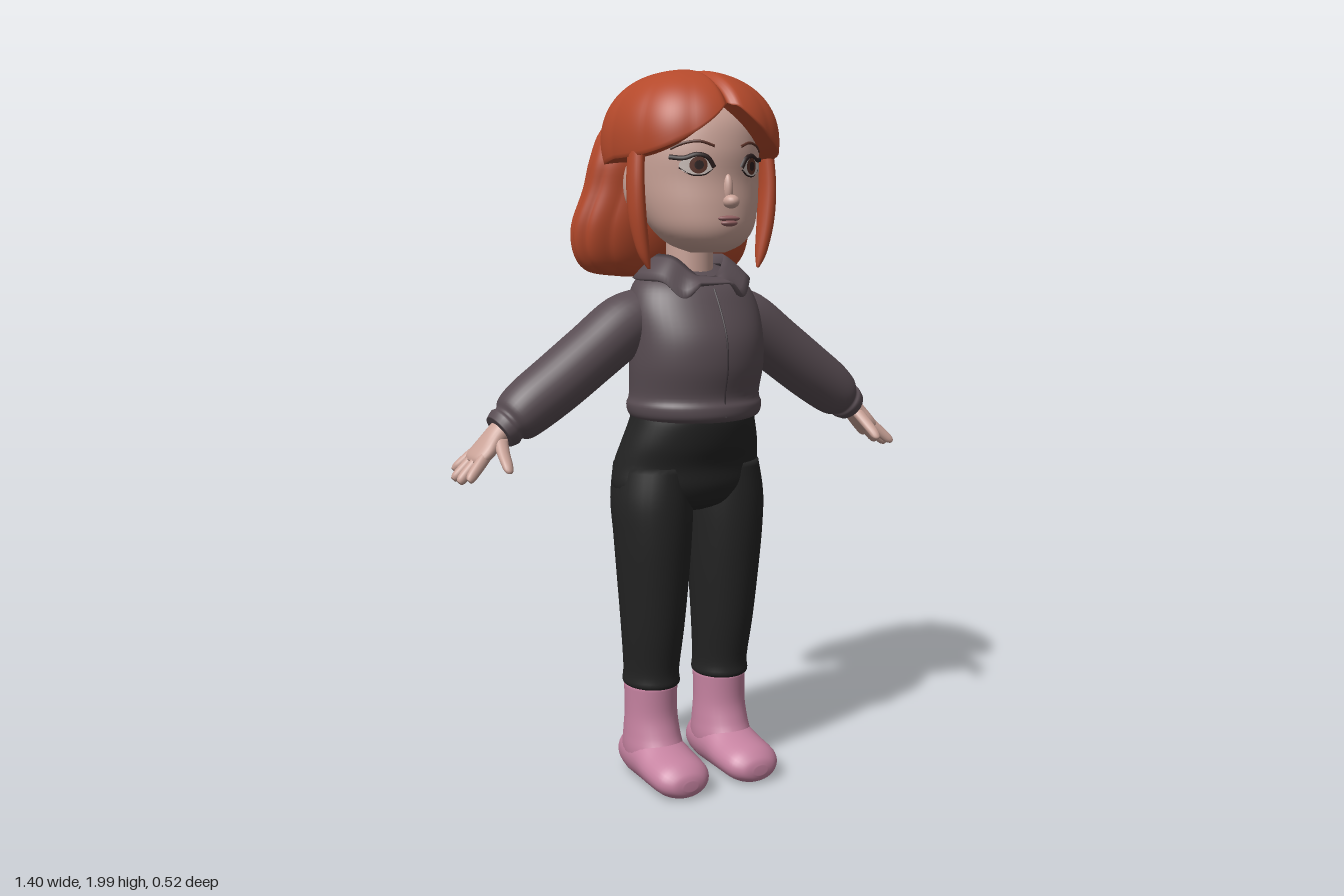
import * as THREE from 'three';

const material = (name, color) => {
  const m = new THREE.MeshStandardMaterial({ color });
  m.name = name;
  return m;
};

// Smooth grid: f(u, v) gives a point, u wraps around, v runs along
function grid(nu, nv, f) {
  const pos = [], idx = [];
  for (let j = 0; j <= nv; j++)
    for (let i = 0; i < nu; i++) pos.push(...f(i / nu, j / nv));
  for (let j = 0; j < nv; j++)
    for (let i = 0; i < nu; i++) {
      const a = j * nu + i, b = j * nu + (i + 1) % nu;
      idx.push(a, b, b + nu, a, b + nu, a + nu);
    }
  const g = new THREE.BufferGeometry();
  g.setAttribute('position', new THREE.Float32BufferAttribute(pos, 3));
  g.setIndex(idx);
  g.computeVertexNormals();
  return g;
}

// Catmull-Rom interpolation of rows of numbers
function sample(rows, t) {
  const n = rows.length - 1, f = Math.min(t * n, n - 1e-6), i = Math.floor(f), k = f - i;
  const p = o => rows[Math.max(0, Math.min(n, i + o))];
  return rows[0].map((_, c) => {
    const [a, b, d, e] = [p(-1)[c], p(0)[c], p(1)[c], p(2)[c]];
    return b + 0.5 * k * (d - a + k * (2 * a - 5 * b + 4 * d - e + k * (3 * (b - d) + e - a)));
  });
}

// Closed loft through rows [x, y, z, radius along z, radius across]
function loft(rows, nu = 32, swell = () => 1) {
  const nv = (rows.length - 1) * 5 + 2;
  const z = new THREE.Vector3(0, 0, 1);
  const first = rows[0], last = rows[rows.length - 1];
  const w = new THREE.Vector3(last[0] - first[0], last[1] - first[1], 0).normalize();
  const v = w.clone().cross(z);
  return grid(nu, nv, (u, s) => {
    const j = Math.round(s * nv), t = Math.max(0, Math.min(1, (j - 1) / (nv - 2)));
    const r = sample(rows, t), a = u * Math.PI * 2;
    const k = j === 0 || j === nv ? 0 : swell(a, t);
    const c = Math.cos(a) * r[3] * k, d = Math.sin(a) * r[4] * k;
    return [r[0] + v.x * d, r[1] + v.y * d, r[2] + c];
  });
}

// Upright loft from rows [y, front z, back z, half width]
const upright = (rows, nu = 48, swell) =>
  loft(rows.map(([y, f, b, w]) => [0, y, (f + b) / 2, (f - b) / 2, w]), nu, swell);

export function createModel() {
  const model = new THREE.Group();
  model.name = 'girl';
  const hair = material('red hair', 0xb4492b), skin = material('skin', 0xc9a297);
  const shirt = material('plum grey cloth', 0x584c52), pants = material('black cloth', 0x232323);
  const rubber = material('pink rubber', 0xc582a0), lip = material('lips', 0x8f5f60);
  const lash = material('dark lash', 0x2b1e1e), white = material('eye white', 0xcbbfba);
  const brown = material('brown', 0x5a3228), seam = material('dark seam', 0x3a3237);
  shirt.side = hair.side = THREE.DoubleSide;

  const add = (name, geometry, mat) => {
    const m = new THREE.Mesh(geometry, mat);
    m.name = name;
    model.add(m);
    return m;
  };
  const blob = (name, mat, [x, y, z], [a, b, c]) =>
    add(name, new THREE.SphereGeometry(1, 24, 16).scale(a, b, c).translate(x, y, z), mat);

  // Head and neck
  const head = add('head', upright([
    [1.508, 0.17, 0.06, 0.045], [1.53, 0.205, 0.0, 0.098], [1.57, 0.225, -0.05, 0.138],
    [1.63, 0.226, -0.1, 0.163], [1.7, 0.22, -0.14, 0.177], [1.78, 0.222, -0.16, 0.18],
    [1.86, 0.198, -0.16, 0.17], [1.92, 0.13, -0.12, 0.12], [1.95, 0.05, -0.05, 0.04]]), skin);
  add('neck', upright([[1.36, 0.085, -0.05, 0.065], [1.45, 0.085, -0.05, 0.065], [1.56, 0.085, -0.05, 0.065]]), skin);

  // Blouse body
  const torso = add('blouse', upright([
    [1.047, 0.18, -0.1, 0.155], [1.06, 0.212, -0.125, 0.185], [1.09, 0.216, -0.13, 0.195],
    [1.12, 0.207, -0.12, 0.188], [1.2, 0.222, -0.108, 0.194], [1.28, 0.216, -0.1, 0.194],
    [1.36, 0.18, -0.1, 0.192], [1.42, 0.14, -0.1, 0.17], [1.46, 0.075, -0.075, 0.12],
    [1.48, 0.03, -0.05, 0.07]]), shirt);

  // Depth of a surface seen from the front
  const ray = new THREE.Raycaster(), back = new THREE.Vector3(0, 0, -1);
  const depth = (mesh, x, y) => {
    ray.set(new THREE.Vector3(x, y, 1), back);
    const hit = ray.intersectObject(mesh)[0];
    return hit ? hit.point.z : 0.1;
  };
  const cord = (name, mat, mesh, pts, r) => {
    const curve = new THREE.CatmullRomCurve3(pts.map(([x, y]) => new THREE.Vector3(x, y, depth(mesh, x, y))));
    add(name, new THREE.TubeGeometry(curve, 20, r, 6), mat);
  };
  const patch = (name, mat, x, y, rx, ry, off) => {
    const g = new THREE.RingGeometry(0, 1, 28, 4).scale(rx, ry, 1).translate(x, y, 0);
    const p = g.attributes.position;
    for (let i = 0; i < p.count; i++) p.setZ(i, depth(head, p.getX(i), p.getY(i)) + off);
    g.computeVertexNormals();
    add(name, g, mat);
  };
  cord('frontSeam', seam, torso, [1.065, 1.12, 1.2, 1.28, 1.36, 1.41].map(y => [0, y]), 0.003);

  // Collar folding outwards with two front points
  add('collar', grid(96, 8, (u, v) => {
    const a = (0.04 + u * 0.92) * Math.PI * 2, c = Math.cos(a), s = Math.sin(a);
    const off = Math.abs(Math.PI - Math.abs(a - Math.PI));
    const top = 1.505 - 0.07 * Math.max(0, c) ** 4;
    const low = 1.435 - 0.05 * Math.exp(-(((off - 0.6) / 0.25) ** 2));
    const t = Math.max(0, Math.min(1, (v - 0.2) / 0.7)), tuck = v < 0.2 ? 0.03 : 0;
    const y = top + (low - top) * t ** 1.3 - tuck - (v > 0.95 ? 0.004 : 0);
    const e = v > 0.95 ? 0.9 : 1;
    return [s * (0.088 + 0.085 * t) * e, y, 0.02 + c * ((c > 0 ? 0.088 : 0.075) + (c > 0 ? 0.075 : 0.05) * t) * e];
  }), shirt);

  // Trousers seat
  add('trouserSeat', upright([
    [0.785, 0.06, -0.06, 0.1], [0.81, 0.115, -0.11, 0.19], [0.86, 0.143, -0.143, 0.226],
    [0.92, 0.15, -0.15, 0.22], [0.98, 0.172, -0.135, 0.205], [1.04, 0.184, -0.12, 0.186],
    [1.08, 0.18, -0.11, 0.175]]), pants);

  for (const s of [1, -1]) {
    const side = s > 0 ? 'left' : 'right';
    const limb = (name, mat, rows, nu) =>
      add(side + name, loft(rows.map(([x, ...r]) => [x * s, ...r]), nu), mat);

    // Sleeve with gathered cuff
    limb('Sleeve', shirt, [
      [0.1, 1.355, 0, 0.075, 0.07], [0.19, 1.315, 0, 0.088, 0.085], [0.3, 1.237, 0.003, 0.088, 0.083],
      [0.4, 1.165, 0.005, 0.086, 0.081], [0.48, 1.11, 0.005, 0.082, 0.077], [0.525, 1.077, 0.005, 0.074, 0.068],
      [0.543, 1.064, 0.005, 0.06, 0.052], [0.555, 1.055, 0.005, 0.064, 0.055], [0.572, 1.042, 0.005, 0.058, 0.048]]);

    // Hand, four fingers and thumb
    limb('Palm', skin, [
      [0.55, 1.06, 0.005, 0.038, 0.033], [0.585, 1.03, 0.005, 0.042, 0.028],
      [0.615, 0.998, 0.004, 0.055, 0.025], [0.64, 0.975, 0.003, 0.052, 0.02], [0.65, 0.966, 0.003, 0.035, 0.012]], 24);
    [[-0.036, -0.052, 0.668, 0.95], [-0.012, -0.018, 0.683, 0.932],
      [0.014, 0.022, 0.684, 0.93], [0.038, 0.062, 0.674, 0.94]].forEach(([z0, z1, x, y], i) =>
      limb('Finger' + (i + 1), skin, [
        [0.62, 0.992, z0, 0.015, 0.016], [(0.62 + x) / 2, (0.992 + y) / 2, (z0 + z1) / 2, 0.015, 0.016],
        [x, y, z1, 0.014, 0.014], [x + 0.01, y - 0.01, z1 + z1 * 0.1, 0.008, 0.008]], 14));
    limb('Thumb', skin, [
      [0.578, 1.03, 0.025, 0.022, 0.02], [0.586, 1.0, 0.06, 0.022, 0.018], [0.59, 0.975, 0.092, 0.02, 0.016],
      [0.592, 0.958, 0.11, 0.014, 0.013], [0.593, 0.95, 0.116, 0.007, 0.007]], 16);

    // Trouser leg
    limb('TrouserLeg', pants, [
      [0.115, 0.278, -0.004, 0.075, 0.066], [0.115, 0.288, -0.004, 0.09, 0.08], [0.115, 0.33, -0.003, 0.088, 0.078],
      [0.116, 0.45, 0.007, 0.099, 0.088], [0.117, 0.6, 0.012, 0.112, 0.1], [0.118, 0.72, 0.013, 0.122, 0.108],
      [0.117, 0.82, 0.007, 0.13, 0.113], [0.11, 0.92, 0, 0.13, 0.105]]);

    // Boot shaft and foot
    limb('BootShaft', rubber, [
      [0.115, 0.03, 0, 0.1, 0.07], [0.115, 0.09, 0.005, 0.112, 0.08], [0.115, 0.14, -0.002, 0.094, 0.078],
      [0.115, 0.2, -0.006, 0.08, 0.075], [0.115, 0.285, -0.007, 0.081, 0.076]]);
    const foot = [ // [z, centre y, half height, half width]
      [0.225, 0.045, 0.014, 0.022], [0.215, 0.046, 0.034, 0.055], [0.18, 0.052, 0.052, 0.082],
      [0.11, 0.06, 0.06, 0.087], [0.04, 0.07, 0.074, 0.083], [-0.04, 0.07, 0.074, 0.076],
      [-0.1, 0.062, 0.056, 0.058], [-0.118, 0.06, 0.035, 0.035], [-0.125, 0.06, 0.0, 0.0]];
    add(side + 'BootFoot', grid(32, 42, (u, v) => {
      const [z, cy, h, w] = sample(foot, Math.max(0, v * 42 - 1) / 41);
      const k = v === 0 ? 0 : 1, a = u * Math.PI * 2;
      return [s * 0.115 - Math.cos(a) * w * k, Math.max(0.004, cy + Math.sin(a) * h * k), z];
    }), rubber);

    // Ear, eye, lashes and brow
    blob(side + 'Ear', skin, [s * 0.184, 1.69, 0.025], [0.02, 0.062, 0.034]);
    patch(side + 'EyeWhite', white, s * 0.084, 1.735, 0.04, 0.024, 0.003);
    patch(side + 'Iris', brown, s * 0.082, 1.736, 0.021, 0.022, 0.005);
    patch(side + 'Pupil', lash, s * 0.082, 1.736, 0.011, 0.012, 0.007);
    cord(side + 'UpperLash', lash, head,
      [[0.042, 1.73], [0.06, 1.756], [0.085, 1.763], [0.112, 1.754], [0.14, 1.757]].map(([x, y]) => [x * s, y]), 0.007);
    cord(side + 'LowerLash', lash, head,
      [[0.046, 1.727], [0.065, 1.713], [0.095, 1.712], [0.122, 1.73]].map(([x, y]) => [x * s, y]), 0.003);
    cord(side + 'Brow', brown, head,
      [[0.04, 1.785], [0.075, 1.797], [0.11, 1.793], [0.138, 1.778]].map(([x, y]) => [x * s, y]), 0.004);

    // Lock of hair in front of the ear
    limb('SideLock', hair, [
      [0.2, 1.81, 0.085, 0.03, 0.02], [0.208, 1.7, 0.09, 0.034, 0.021], [0.203, 1.6, 0.092, 0.031, 0.022],
      [0.187, 1.51, 0.095, 0.019, 0.016], [0.173, 1.465, 0.1, 0.004, 0.004]], 20);
  }

  // Nose and mouth
  blob('nose', skin, [0, 1.642, 0.235], [0.021, 0.018, 0.025]);
  blob('noseBridge', skin, [0, 1.675, 0.216], [0.014, 0.04, 0.018]);
  blob('upperLip', lip, [0, 1.598, 0.222], [0.034, 0.008, 0.018]);
  blob('lowerLip', lip, [0, 1.586, 0.222], [0.026, 0.009, 0.019]);

  // Crown of hair: parted dome with a swept fringe
  const crownY = 1.8, crownH = 0.2, pw = 2.2;
  add('hairCrown', grid(160, 40, (u, v) => {
    const a = u * Math.PI * 2, c = Math.cos(a), sn = Math.sin(a);
    const edge = c > 0 ? 1.757 + 0.155 * (1 - Math.abs(sn)) ** 1.5 : 1.757 - 0.04 * -c;
    const d = (edge - crownY) / crownH;
    const end = Math.acos(Math.sign(d) * Math.abs(d) ** (pw / 2));
    const t = 1 - v, k = Math.max(0, (t - 0.9) / 0.1), b = end * Math.min(1, t / 0.9);
    const cb = Math.cos(b);
    let r = Math.sin(b) ** (2 / pw);
    let y = crownY + crownH * Math.sign(cb) * Math.abs(cb) ** (2 / pw);
    r *= (1 - 0.28 * k * k) * (1 + 0.016 * r * (Math.abs(Math.sin(a * 6)) - 0.5));
    const square = (Math.abs(c) ** 2.4 + Math.abs(sn) ** 2.4) ** (-1 / 2.4);
    const x = sn * square * r * 0.232;
    const dip = Math.exp(-((x / 0.014) ** 2));
    y -= 0.015 * dip * (1 - k);
    return [x, y, c * square * r * (c > 0 ? 0.26 : 0.212) * (1 - 0.04 * dip)];
  }), hair);

  // Long back hair with soft strands
  add('backHair', upright([
    [1.438, -0.1, -0.19, 0.13], [1.452, -0.07, -0.228, 0.225], [1.5, -0.04, -0.25, 0.27],
    [1.58, -0.015, -0.26, 0.28], [1.68, 0.0, -0.238, 0.252], [1.76, 0.01, -0.222, 0.238],
    [1.84, 0.0, -0.208, 0.205], [1.91, -0.02, -0.165, 0.13]], 160,
  (a, t) => 1 + 0.05 * (1 - t) * (Math.abs(Math.sin(a * 8 + 0.5 * Math.sin(t * 5))) - 0.6)), hair);

  return model;
}
